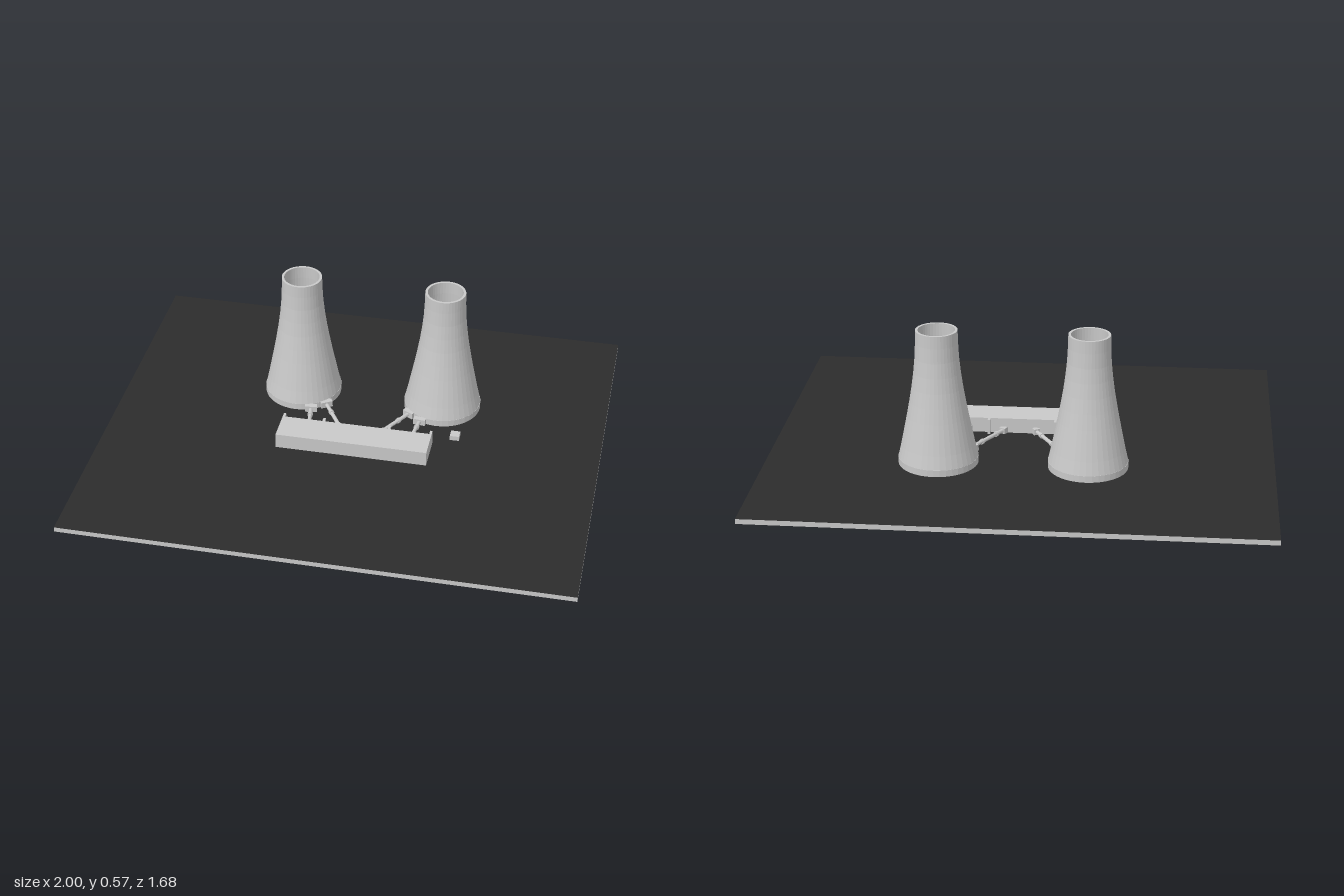
import * as THREE from 'three';

export function createModel() {
  const model = new THREE.Group();
  const concrete = new THREE.MeshStandardMaterial({ color: 0xc8c8c8, flatShading: true });
  concrete.name = 'light concrete';
  const asphalt = new THREE.MeshStandardMaterial({ color: 0x2c2c2c, flatShading: true });
  asphalt.name = 'dark ground';

  const GROUND = 0.02;

  function add(parent, name, geometry, material, x = 0, y = 0, z = 0) {
    const mesh = new THREE.Mesh(geometry, material);
    mesh.name = name;
    mesh.position.set(x, y, z);
    parent.add(mesh);
    return mesh;
  }

  // Box given by its extents
  function block(parent, name, x0, x1, y0, y1, z0, z1) {
    return add(parent, name, new THREE.BoxGeometry(x1 - x0, y1 - y0, z1 - z0), concrete,
      (x0 + x1) / 2, (y0 + y1) / 2, (z0 + z1) / 2);
  }

  // Site slab: dark top, light edges and underside
  add(model, 'groundSlab', new THREE.BoxGeometry(2, GROUND, 1.68),
    [concrete, concrete, asphalt, concrete, concrete, concrete], 0, GROUND / 2, 0);

  // Cooling tower: hollow shell, outer wall up, over the lip, inner wall down
  const outer = [[0.157, 0.047], [0.145, 0.1], [0.133, 0.16], [0.121, 0.22], [0.11, 0.28],
    [0.1, 0.34], [0.092, 0.4], [0.086, 0.46], [0.083, 0.52], [0.082, 0.57]];
  const wall = 0.01;
  const inner = outer.map(([r, y]) => [r - wall, y]).reverse();
  const profile = [[0.158, GROUND], [0.158, 0.047], ...outer, ...inner, [0.147, GROUND]]
    .map(([r, y]) => new THREE.Vector2(r, y));
  const towerGeometry = new THREE.LatheGeometry(profile, 40);

  // Water pipe from a tower to the turbine hall, with flange, valves and end fitting
  function pipe(parent, x0, z0, x1, z1) {
    const group = new THREE.Group();
    group.name = 'waterPipe';
    const length = Math.hypot(x1 - x0, z1 - z0);
    group.position.set(x0, 0.034, z0);
    group.rotation.y = Math.atan2(x1 - x0, z1 - z0);
    const tube = new THREE.CylinderGeometry(0.008, 0.008, length, 12).rotateX(Math.PI / 2);
    add(group, 'pipeRun', tube, concrete, 0, 0, length / 2);
    add(group, 'towerFlange', new THREE.BoxGeometry(0.05, 0.026, 0.022), concrete, 0, 0, 0);
    for (const t of [0.3, 0.72]) {
      const collar = new THREE.CylinderGeometry(0.011, 0.011, 0.012, 12).rotateX(Math.PI / 2);
      add(group, 'pipeCollar', collar, concrete, 0, 0, length * t);
    }
    add(group, 'pumpFitting', new THREE.BoxGeometry(0.026, 0.024, 0.022), concrete, 0, 0, length - 0.012);
    parent.add(group);
  }

  const towers = [
    { name: 'rightCoolingTower', x: -0.27, pipes: [[-0.205, -0.097, -0.183, 0.05], [-0.15, -0.14, -0.035, 0.05]] },
    { name: 'leftCoolingTower', x: 0.32, pipes: [[0.252, -0.097, 0.233, 0.05], [0.2, -0.14, 0.085, 0.05]] },
  ];
  for (const { name, x, pipes } of towers) {
    add(model, name, towerGeometry, concrete, x, 0, -0.252);
    for (const p of pipes) pipe(model, ...p);
  }

  // Turbine hall with buttress walls along its rear
  block(model, 'turbineHall', -0.29, 0.325, GROUND, 0.082, 0.047, 0.175);
  for (const x of [-0.285, -0.12, 0.15, 0.32]) {
    block(model, 'rearButtress', x - 0.005, x + 0.005, GROUND, 0.082, 0.025, 0.05);
  }

  // Small utility hut
  block(model, 'utilityHut', 0.39, 0.428, GROUND, 0.04, -0.05, -0.012);

  return model;
}
